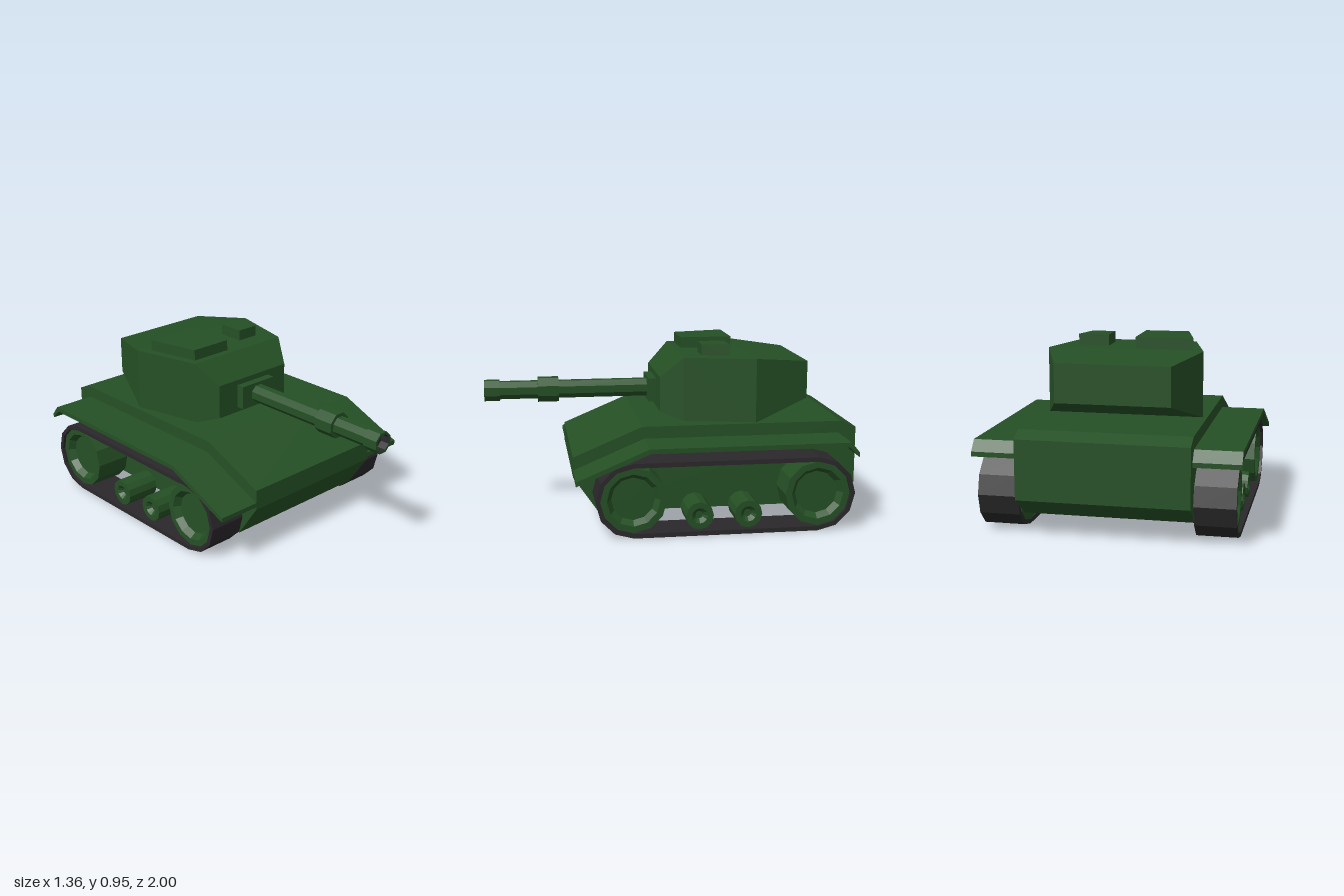
import * as THREE from 'three';

const green = new THREE.MeshStandardMaterial({ color: 0x255025 });
green.name = 'armour green';
const dark = new THREE.MeshStandardMaterial({ color: 0x2a282a });
dark.name = 'track black';

function mesh(name, geometry, material = green) {
  const m = new THREE.Mesh(geometry, material);
  m.name = name;
  return m;
}

// Faceted normals
function flat(geometry) {
  const g = geometry.index ? geometry.toNonIndexed() : geometry;
  g.computeVertexNormals();
  return g;
}

const shapeOf = (pts) => new THREE.Shape(pts.map(([a, b]) => new THREE.Vector2(a, b)));

// Side profile of [z, y] points (optional hole) extruded from x0 to x1
function sideExtrude(pts, x0, x1, hole) {
  const shape = shapeOf(pts);
  if (hole) shape.holes.push(new THREE.Path(hole.map(([a, b]) => new THREE.Vector2(a, b))));
  return new THREE.ExtrudeGeometry(shape, { depth: x1 - x0, bevelEnabled: false })
    .rotateY(-Math.PI / 2).translate(x1, 0, 0);
}

// Plan outline of [x, z] points extruded from y0 up to y1
function planExtrude(pts, y0, y1) {
  return new THREE.ExtrudeGeometry(shapeOf(pts), { depth: y1 - y0, bevelEnabled: false })
    .rotateX(Math.PI / 2).translate(0, y1, 0);
}

function lathe(pts, sides, start = 0) {
  return flat(new THREE.LatheGeometry(pts.map(([r, h]) => new THREE.Vector2(r, h)), sides, start));
}

// Stadium outline around the two big wheels
const WHEEL_Z = [0.24, -0.74], AXLE_Y = 0.2;
function trackLoop(r) {
  const pts = [];
  for (let i = 0; i < 14; i++) {
    const end = i < 7 ? 0 : 1;
    const a = -Math.PI / 2 + (i - end) * Math.PI / 6;
    pts.push([WHEEL_Z[end] + r * Math.cos(a), AXLE_Y + r * Math.sin(a)]);
  }
  return pts;
}

// Turret from rectangular sections: [z, half width, bottom, top]
function turretGeometry() {
  const sections = [
    [-0.76, 0.30, 0.65, 0.855],
    [-0.45, 0.415, 0.543, 0.89],
    [-0.07, 0.32, 0.543, 0.89],
    [0.05, 0.25, 0.585, 0.775],
  ];
  const pos = [], idx = [];
  for (const [z, w, b, t] of sections) pos.push(w, b, z, w, t, z, -w, t, z, -w, b, z);
  for (let i = 0; i < 3; i++) {
    for (let j = 0; j < 4; j++) {
      const a = i * 4 + j, b = i * 4 + (j + 1) % 4;
      idx.push(a, b, b + 4, a, b + 4, a + 4);
    }
  }
  idx.push(0, 2, 1, 0, 3, 2, 12, 13, 14, 12, 14, 15);
  const g = new THREE.BufferGeometry();
  g.setAttribute('position', new THREE.Float32BufferAttribute(pos, 3));
  g.setIndex(idx);
  return flat(g);
}

// Fender, track and wheels of one side
function runningGear(side) {
  const group = new THREE.Group();
  group.name = side > 0 ? 'leftRunningGear' : 'rightRunningGear';
  const span = (a, b) => (side > 0 ? [a, b] : [-b, -a]);

  const fender = [
    [0.54, 0.32], [0.16, 0.48], [-0.905, 0.48], [-0.95, 0.425],
    [-0.95, 0.40], [-0.895, 0.455], [0.155, 0.455], [0.54, 0.295],
  ];
  group.add(mesh('fender', sideExtrude(fender, ...span(0.44, 0.68))));
  group.add(mesh('track', sideExtrude(trackLoop(0.2), ...span(0.445, 0.655), trackLoop(0.176)), dark));

  const addWheel = (name, profile, sides, y, z) => {
    const wheel = mesh(name, lathe(profile, sides).rotateZ(-side * Math.PI / 2));
    wheel.position.set(side * 0.44, y, z);
    group.add(wheel);
  };
  // Large end wheels with a dished face
  for (const z of WHEEL_Z) {
    addWheel('endWheel', [[0, 0], [0.175, 0], [0.175, 0.2], [0.14, 0.2], [0.115, 0.165], [0, 0.165]], 12, AXLE_Y, z);
  }
  // Small rollers
  for (const z of [-0.11, -0.37]) {
    addWheel('roller', [[0, 0], [0.074, 0], [0.074, 0.19], [0.042, 0.19], [0.02, 0.165], [0, 0.165]], 12, 0.1, z);
  }
  return group;
}

export function createModel() {
  const model = new THREE.Group();
  model.name = 'tank';

  // Hull
  model.add(mesh('hull', sideExtrude([
    [0.54, 0.39], [0.17, 0.545], [-0.92, 0.545], [-1, 0.51],
    [-1, 0.2], [-0.84, 0.09], [0.41, 0.09], [0.54, 0.28],
  ], -0.44, 0.44)));

  for (const side of [1, -1]) model.add(runningGear(side));

  // Turret and hatches
  const turret = new THREE.Group();
  turret.name = 'turret';
  turret.add(mesh('turretBody', turretGeometry()));
  turret.add(mesh('largeHatch', planExtrude(
    [[-0.355, -0.40], [-0.045, -0.40], [-0.045, -0.11], [-0.285, -0.11]], 0.88, 0.95)));
  turret.add(mesh('smallHatch', planExtrude(
    [[0.115, -0.33], [0.28, -0.33], [0.24, -0.18], [0.115, -0.18]], 0.88, 0.95)));

  // Gun mount, octagonal barrel with sleeve and muzzle, dark bore
  turret.add(mesh('gunMount', new THREE.BoxGeometry(0.236, 0.13, 0.055).translate(0, 0.68, 0.0675)));
  const barrel = lathe([
    [0.052, 0.08], [0.052, 0.59], [0.072, 0.59], [0.072, 0.705], [0.052, 0.705],
    [0.052, 0.915], [0.061, 0.915], [0.061, 1], [0.047, 1],
  ], 8, Math.PI / 8);
  turret.add(mesh('gunBarrel', barrel.rotateX(Math.PI / 2).translate(0, 0.68, 0)));
  const bore = lathe([[0.047, 1], [0.047, 0.95], [0, 0.95]], 8, Math.PI / 8);
  turret.add(mesh('gunBore', bore.rotateX(Math.PI / 2).translate(0, 0.68, 0), dark));
  model.add(turret);

  return model;
}
